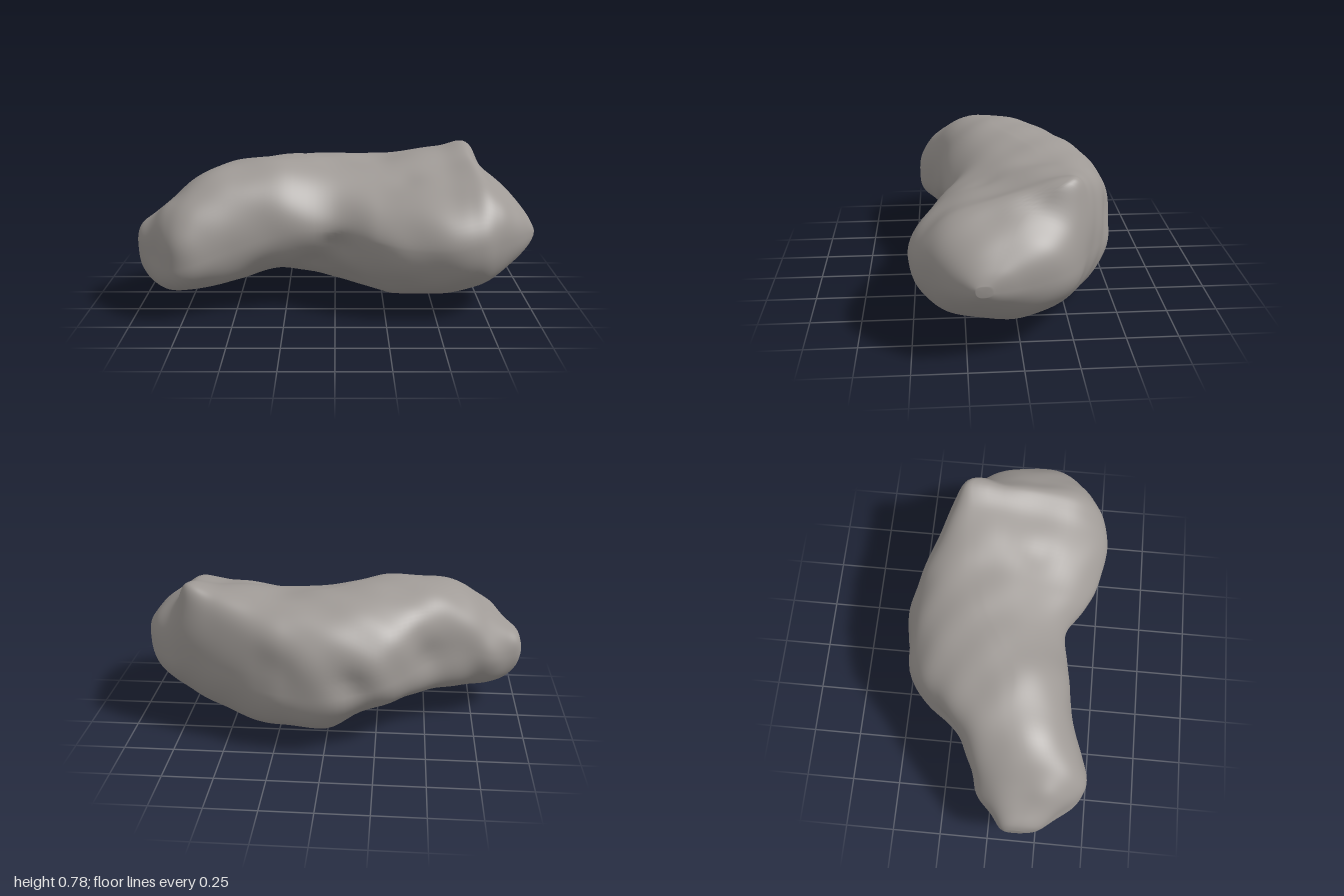
import * as THREE from 'three';

// Cross-sections along the body:
// x, top y, top z, bottom y, bottom z, front z, front y, back z, back y
const SECTIONS = [
  [-1.0, 0.38, 0.14, 0.30, 0.14, 0.19, 0.34, 0.09, 0.34],
  [-0.98, 0.43, 0.15, 0.22, 0.18, 0.27, 0.32, 0.06, 0.34],
  [-0.92, 0.48, 0.17, 0.15, 0.20, 0.35, 0.29, 0.02, 0.34],
  [-0.82, 0.56, 0.17, 0.12, 0.22, 0.45, 0.28, -0.05, 0.36],
  [-0.70, 0.66, 0.14, 0.12, 0.20, 0.475, 0.30, -0.12, 0.40],
  [-0.50, 0.73, 0.08, 0.14, 0.12, 0.41, 0.36, -0.28, 0.40],
  [-0.28, 0.745, 0.06, 0.155, -0.05, 0.36, 0.42, -0.46, 0.36],
  [0.0, 0.725, -0.10, 0.075, -0.14, 0.33, 0.42, -0.515, 0.32],
  [0.2, 0.715, -0.16, 0.03, -0.08, 0.42, 0.40, -0.505, 0.32],
  [0.35, 0.73, -0.18, 0.02, -0.06, 0.475, 0.38, -0.45, 0.33],
  [0.55, 0.755, -0.21, 0.06, 0.03, 0.51, 0.38, -0.37, 0.38],
  [0.7, 0.78, -0.21, 0.10, 0.08, 0.49, 0.40, -0.31, 0.42],
  [0.8, 0.665, 0.02, 0.16, 0.10, 0.43, 0.40, -0.26, 0.40],
  [0.9, 0.57, 0.08, 0.24, 0.12, 0.34, 0.40, -0.16, 0.40],
  [0.97, 0.48, 0.12, 0.32, 0.16, 0.26, 0.40, 0.02, 0.39],
  [1.0, 0.42, 0.17, 0.37, 0.18, 0.21, 0.40, 0.14, 0.39],
];

// Bluntness of each quarter outline (below 1 is squarer, above 1 is flatter):
// x, front top, back top, back bottom, front bottom
const BLUNTNESS = [
  [-1.0, 0.85, 0.8, 0.95, 0.95],
  [-0.45, 0.92, 0.85, 0.95, 0.9],
  [0.0, 1.15, 0.8, 0.9, 1.1],
  [0.35, 1.12, 0.72, 0.9, 1.0],
  [0.65, 1.08, 0.72, 0.9, 0.95],
  [0.85, 0.9, 0.8, 0.9, 0.85],
  [1.0, 0.8, 0.8, 0.9, 0.85],
];

// Hollows (negative) and lumps (positive): x, y, z, radius, height
const RELIEF = [
  [-0.55, 0.42, -0.24, 0.15, -0.06], // crater on the back
  [-0.84, 0.36, -0.05, 0.08, 0.015], // crater rim
  [-0.90, 0.32, 0.33, 0.11, -0.02], // dished right end
  [-0.74, 0.40, 0.45, 0.08, 0.01], // rim of the right end
  [-0.82, 0.53, 0.27, 0.07, 0.012], // knuckle above the right end
  [0.0, 0.36, 0.31, 0.08, -0.035], // notch in the waist
  [-0.10, 0.22, 0.25, 0.12, -0.03], // hollow under the waist
  [0.63, 0.71, 0.08, 0.18, -0.04], // trough in front of the peak
  [0.74, 0.72, -0.08, 0.08, -0.02], // step below the peak
  [0.36, 0.66, 0.15, 0.09, -0.02], // trough beside the front lobe
  [0.33, 0.01, 0.0, 0.09, 0.02], // lowest lump
  [0.0, 0.14, -0.36, 0.11, 0.03], // lump under the back
  [-0.13, 0.37, -0.49, 0.09, -0.035], // nick in the back edge
  [0.22, 0.45, -0.46, 0.12, -0.02], // shallow back hollow
];

const STEPS = 8; // rings between sections
const SIDES = 96;

// Smooth blend through a table at a fractional row
function blend(table, t) {
  const last = table.length - 1;
  const i = Math.min(Math.floor(t), last - 1);
  const f = t - i;
  const [a, b, c, d] = [i - 1, i, i + 1, i + 2].map((k) => table[Math.min(Math.max(k, 0), last)]);
  return b.map((v, k) => v + 0.5 * f * (c[k] - a[k]
    + f * (2 * a[k] - 5 * v + 4 * c[k] - d[k] + f * (3 * (v - c[k]) + d[k] - a[k]))));
}

// Four bluntness values at a given x
function bluntnessAt(x) {
  let i = 0;
  while (i < BLUNTNESS.length - 2 && x > BLUNTNESS[i + 1][0]) i++;
  const f = THREE.MathUtils.smoothstep(x, BLUNTNESS[i][0], BLUNTNESS[i + 1][0]);
  return BLUNTNESS[i].slice(1).map((v, k) => THREE.MathUtils.lerp(v, BLUNTNESS[i + 1][k + 1], f));
}

// Rounded outline through the front, top, back and bottom points
function outlinePoint([x, topY, topZ, botY, botZ, frontZ, frontY, backZ, backY], blunt, k) {
  const angle = (k / SIDES) * Math.PI * 2;
  const c = Math.cos(angle);
  const s = Math.sin(angle);
  const [poleY, poleZ] = s >= 0 ? [topY, topZ] : [botY, botZ];
  const [sideZ, sideY] = c >= 0 ? [frontZ, frontY] : [backZ, backY];
  const power = blunt[Math.floor((k * 4) / SIDES)];
  const u = Math.abs(c) ** power;
  const v = Math.abs(s) ** power;
  return [x, sideY + (poleY - sideY) * v, poleZ + (sideZ - poleZ) * u];
}

// Gentle uneven surface
function roughness(x, y, z) {
  return 0.005 * Math.sin(11 * x + 5 * y + 2 * Math.sin(7 * z)) * Math.sin(9 * z - 6 * y + 1)
    + 0.004 * Math.sin(19 * x - 8 * z + 2) * Math.sin(17 * y + 13 * z);
}

function createRockGeometry() {
  const positions = [];
  const indices = [];
  const rings = (SECTIONS.length - 1) * STEPS;
  for (let r = 0; r <= rings; r++) {
    const section = blend(SECTIONS, r / STEPS);
    const blunt = bluntnessAt(section[0]);
    for (let k = 0; k < SIDES; k++) positions.push(...outlinePoint(section, blunt, k));
  }
  for (let r = 0; r < rings; r++) {
    for (let k = 0; k < SIDES; k++) {
      const n = (k + 1) % SIDES;
      const a = r * SIDES + k, b = r * SIDES + n;
      indices.push(a, a + SIDES, b, b, a + SIDES, b + SIDES);
    }
  }
  // Close both ends
  const poles = positions.length / 3;
  positions.push(-1, 0.34, 0.14, 1, 0.395, 0.175);
  for (let k = 0; k < SIDES; k++) {
    const n = (k + 1) % SIDES;
    indices.push(poles, k, n, poles + 1, rings * SIDES + n, rings * SIDES + k);
  }

  const geometry = new THREE.BufferGeometry();
  geometry.setAttribute('position', new THREE.Float32BufferAttribute(positions, 3));
  geometry.setIndex(indices);
  geometry.computeVertexNormals();

  // Push the surface in and out along its normals
  const pos = geometry.attributes.position;
  const p = new THREE.Vector3();
  const normal = new THREE.Vector3();
  for (let i = 0; i < pos.count; i++) {
    p.fromBufferAttribute(pos, i);
    normal.fromBufferAttribute(geometry.attributes.normal, i);
    let offset = roughness(p.x, p.y, p.z) * (1 - p.x ** 8);
    for (const [x, y, z, radius, height] of RELIEF) {
      const d2 = (p.x - x) ** 2 + (p.y - y) ** 2 + (p.z - z) ** 2;
      offset += height * Math.exp(-d2 / (radius * radius));
    }
    p.addScaledVector(normal, offset);
    pos.setXYZ(i, p.x, Math.max(p.y, 0), p.z);
  }
  geometry.computeVertexNormals();
  return geometry;
}

export function createModel() {
  const group = new THREE.Group();
  group.name = 'asteroid';
  const rock = new THREE.Mesh(createRockGeometry(), new THREE.MeshStandardMaterial({ color: 0x9f9a96 }));
  rock.name = 'rockBody';
  group.add(rock);
  return group;
}
